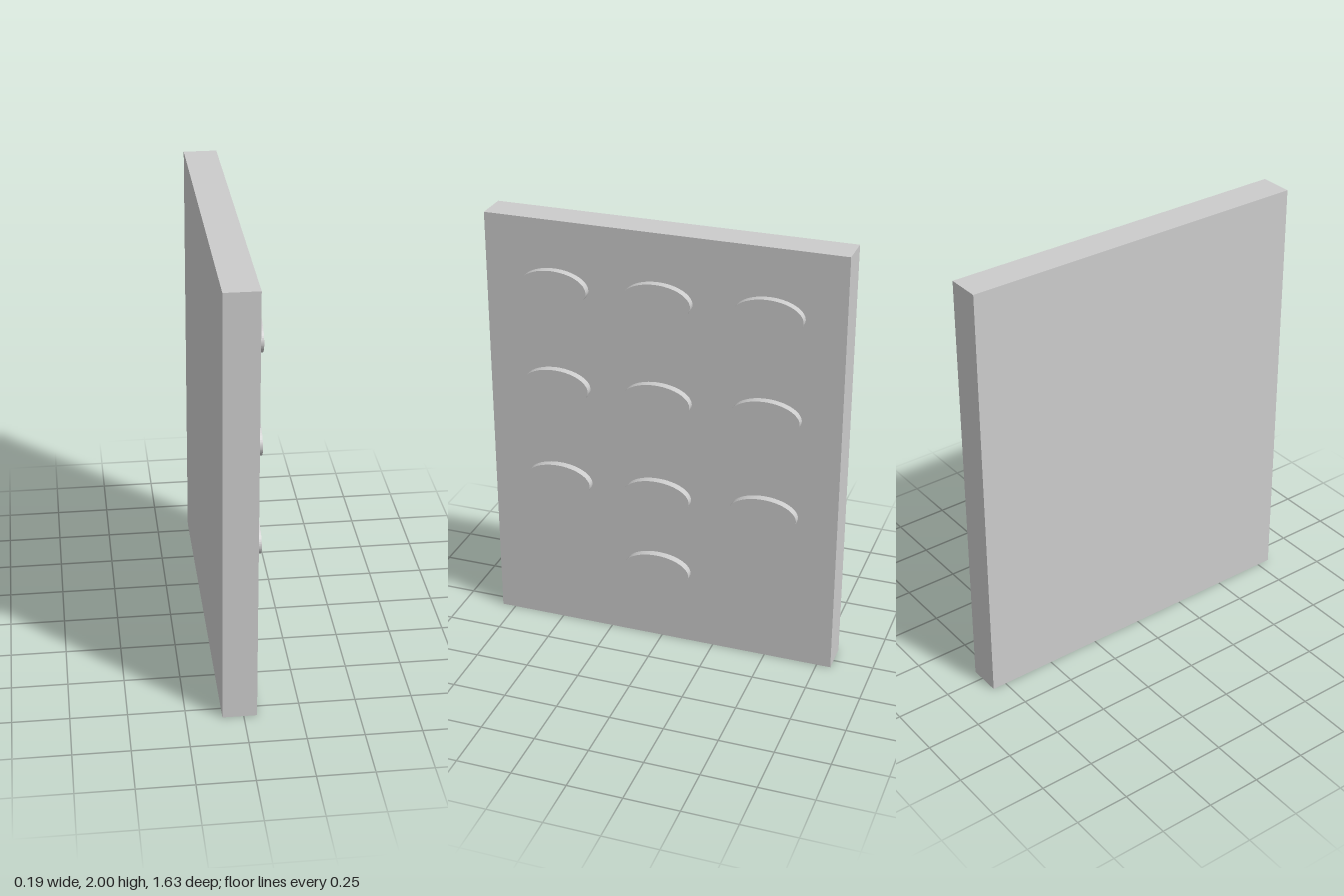
import * as THREE from 'three';

export function createModel() {
  const model = new THREE.Group();
  model.name = 'keypad';
  const material = new THREE.MeshStandardMaterial({ color: 0xcccccc, flatShading: true });

  const back = -0.093, face = 0.058, buttonTop = 0.093;

  // Upright slab whose face looks towards +x
  const panel = new THREE.Mesh(new THREE.BoxGeometry(face - back, 2, 1.63), material);
  panel.name = 'panel';
  panel.position.set((back + face) / 2, 1, 0);
  model.add(panel);

  // Oval button, lying along x
  const buttonGeometry = new THREE.CylinderGeometry(1, 1, buttonTop - face, 64);
  buttonGeometry.rotateZ(-Math.PI / 2);
  buttonGeometry.scale(1, 0.083, 0.156);

  const buttons = new THREE.Group();
  buttons.name = 'buttons';
  model.add(buttons);

  const addButton = (y, z) => {
    const button = new THREE.Mesh(buttonGeometry, material);
    button.name = `button${buttons.children.length + 1}`;
    button.position.set((face + buttonTop) / 2, y, z);
    buttons.add(button);
  };

  // Three rows of three, and a single button below the middle column
  const columns = [0.492, 0.017, -0.48];
  for (const y of [1.697, 1.226, 0.749]) {
    for (const z of columns) addButton(y, z);
  }
  addButton(0.366, columns[1]);

  return model;
}
